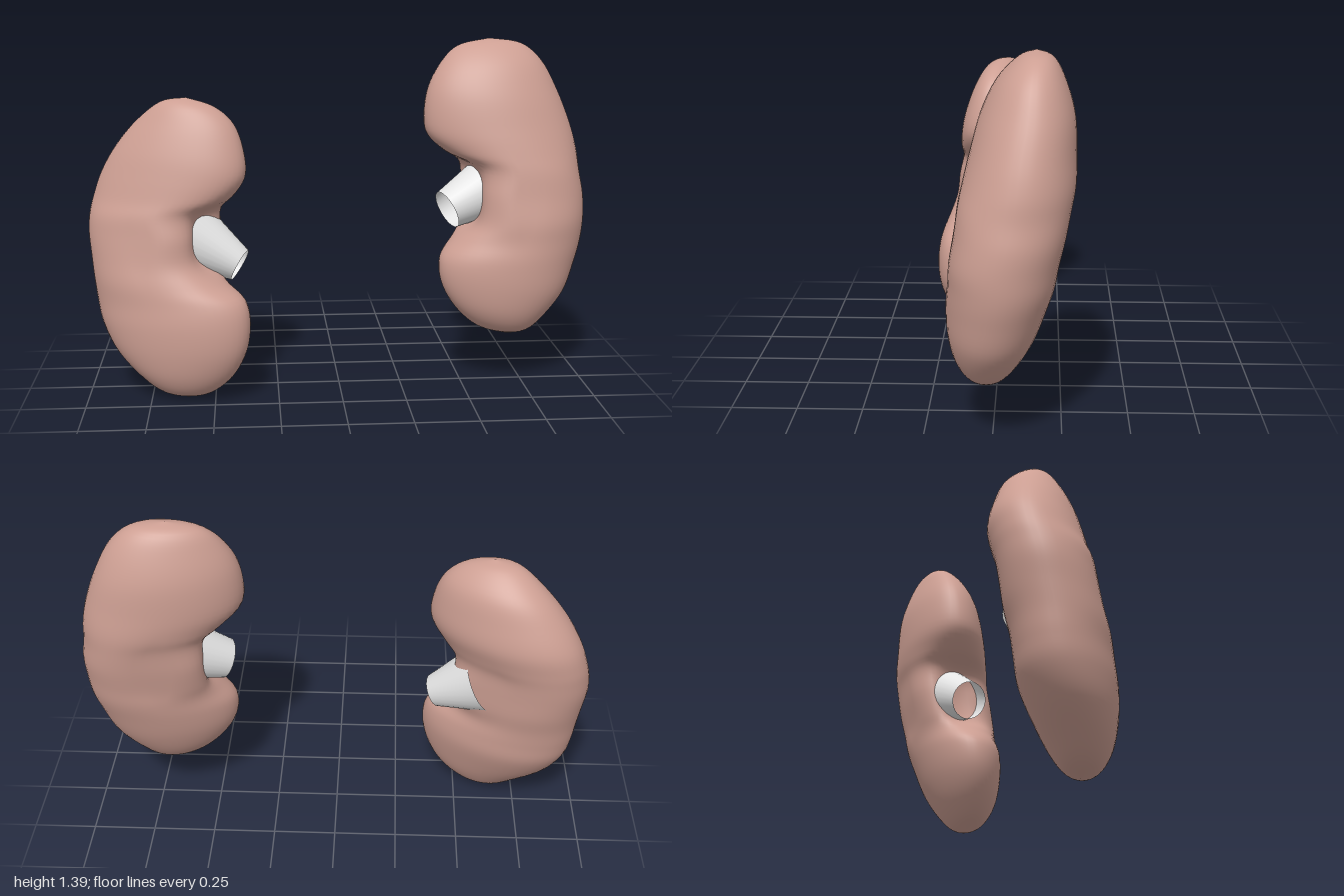
import * as THREE from 'three';

const tissue = new THREE.MeshStandardMaterial({ color: 0xcd9f93 });
tissue.name = 'tissue pink';
const duct = new THREE.MeshStandardMaterial({ color: 0xe4e4e4, side: THREE.DoubleSide });
duct.name = 'duct grey';

// Rungs run from the upper pole to the lower pole:
// outer point, inner point, half thickness, bluntness of the inner side, lean of its lips
const leftRungs = [
  [[0.62, 1.39, -0.15], [0.62, 1.39, -0.15], 0, 0, 0],
  [[0.75, 1.37, -0.155], [0.49, 1.36, -0.14], 0.062, 0, 0],
  [[0.835, 1.3, -0.15], [0.41, 1.28, -0.11], 0.118, 0, 0],
  [[0.9, 1.18, -0.145], [0.36, 1.17, -0.09], 0.162, 0, 0],
  [[0.95, 1.05, -0.125], [0.355, 1.03, -0.08], 0.184, 0, 0],
  [[0.975, 0.95, -0.115], [0.42, 0.945, -0.065], 0.194, 0.2, -0.05],
  [[0.985, 0.86, -0.1], [0.505, 0.885, -0.05], 0.194, 0.7, -0.2],
  [[1.0, 0.77, -0.08], [0.515, 0.78, -0.04], 0.192, 1, -0.2],
  [[1.0, 0.68, -0.06], [0.505, 0.67, -0.02], 0.19, 0.8, -0.2],
  [[0.99, 0.59, -0.05], [0.46, 0.6, -0.01], 0.186, 0.2, -0.05],
  [[0.965, 0.5, -0.035], [0.41, 0.52, 0.01], 0.178, 0, 0],
  [[0.92, 0.38, -0.01], [0.415, 0.42, 0.02], 0.157, 0, 0],
  [[0.84, 0.28, 0.01], [0.47, 0.32, 0.03], 0.12, 0, 0],
  [[0.77, 0.22, 0.02], [0.56, 0.24, 0.03], 0.068, 0, 0],
  [[0.68, 0.2, 0.02], [0.68, 0.2, 0.02], 0, 0, 0],
];
const rightRungs = [
  [[-0.6, 1.175, 0], [-0.6, 1.175, 0], 0, 0, 0],
  [[-0.7, 1.155, -0.04], [-0.49, 1.14, 0.04], 0.062, 0, 0],
  [[-0.8, 1.07, -0.1], [-0.415, 1.07, 0.07], 0.118, 0, 0],
  [[-0.88, 0.97, -0.13], [-0.38, 0.96, 0.1], 0.152, 0, 0],
  [[-0.935, 0.87, -0.15], [-0.38, 0.87, 0.115], 0.17, 0, 0],
  [[-0.965, 0.78, -0.145], [-0.43, 0.79, 0.12], 0.17, 0.2, 0.05],
  [[-0.98, 0.71, -0.13], [-0.5, 0.73, 0.11], 0.17, 0.7, 0.2],
  [[-0.985, 0.64, -0.115], [-0.505, 0.64, 0.115], 0.17, 1, 0.2],
  [[-0.975, 0.55, -0.095], [-0.5, 0.54, 0.13], 0.172, 0.8, 0.2],
  [[-0.965, 0.46, -0.075], [-0.46, 0.465, 0.17], 0.172, 0.2, 0.05],
  [[-0.955, 0.37, -0.06], [-0.385, 0.4, 0.205], 0.172, 0, 0],
  [[-0.935, 0.28, -0.04], [-0.365, 0.31, 0.222], 0.17, 0, 0],
  [[-0.885, 0.18, 0.01], [-0.38, 0.2, 0.222], 0.147, 0, 0],
  [[-0.8, 0.09, 0.07], [-0.43, 0.1, 0.2], 0.112, 0, 0],
  [[-0.71, 0.025, 0.105], [-0.51, 0.03, 0.175], 0.065, 0, 0],
  [[-0.6, 0, 0.14], [-0.6, 0, 0.14], 0, 0, 0],
];

const smooth = (points) => new THREE.CatmullRomCurve3(points, false, 'catmullrom', 0.5);

// Bean-shaped body lofted through the rungs
function beanGeometry(rungs) {
  const outer = smooth(rungs.map((r) => new THREE.Vector3(...r[0])));
  const inner = smooth(rungs.map((r) => new THREE.Vector3(...r[1])));
  const section = smooth(rungs.map((r) => new THREE.Vector3(r[2], r[3], r[4])));
  const rows = (rungs.length - 1) * 5;
  const sides = 48;
  const positions = [];
  const index = [];
  for (let i = 0; i <= rows; i++) {
    const o = outer.getPoint(i / rows);
    const n = inner.getPoint(i / rows);
    const s = section.getPoint(i / rows);
    const mid = o.clone().add(n).multiplyScalar(0.5);
    const half = o.clone().sub(n).multiplyScalar(0.5);
    const across = new THREE.Vector3(-half.z, 0, half.x).normalize();
    const blunt = Math.max(0, s.y);
    for (let k = 0; k < sides; k++) {
      const t = (k / sides) * Math.PI * 2;
      let c = Math.cos(t);
      const v = Math.sin(t) * (1 + 0.1 * c);
      // squared-off lips with a hollow between them
      if (c < 0) {
        const hollow = 1 - 0.22 * blunt * c ** 8;
        c = -(Math.abs(c) ** (1 - 0.55 * blunt)) * hollow * (1 + s.z * v);
      }
      const p = mid.clone().addScaledVector(half, c).addScaledVector(across, v * Math.max(0, s.x));
      positions.push(p.x, p.y, p.z);
      if (i < rows) {
        const a = i * sides + k;
        const b = i * sides + ((k + 1) % sides);
        if (i > 0) index.push(a, b, a + sides);
        if (i < rows - 1) index.push(b, b + sides, a + sides);
      }
    }
  }
  const geometry = new THREE.BufferGeometry();
  geometry.setAttribute('position', new THREE.Float32BufferAttribute(positions, 3));
  geometry.setIndex(index);
  geometry.computeVertexNormals();
  return geometry;
}

// Open tapered duct from its wide base inside the hollow to its round mouth
function makeDuct(name, base, mouth, baseRadius, mouthRadius) {
  const from = new THREE.Vector3(...base);
  const to = new THREE.Vector3(...mouth);
  const axis = to.clone().sub(from);
  const geometry = new THREE.CylinderGeometry(mouthRadius, baseRadius, axis.length(), 28, 1, true);
  const mesh = new THREE.Mesh(geometry, duct);
  mesh.name = name;
  mesh.position.copy(from).add(to).multiplyScalar(0.5);
  mesh.quaternion.setFromUnitVectors(new THREE.Vector3(0, 1, 0), axis.normalize());
  return mesh;
}

function makeOrgan(name, rungs, ductMesh) {
  const group = new THREE.Group();
  group.name = name;
  const body = new THREE.Mesh(beanGeometry(rungs), tissue);
  body.name = name + 'Body';
  group.add(body, ductMesh);
  return group;
}

export function createModel() {
  const model = new THREE.Group();
  model.name = 'kidneys';
  model.add(
    makeOrgan('leftKidney', leftRungs,
      makeDuct('leftDuct', [0.61, 0.79, -0.08], [0.44, 0.71, -0.02], 0.12, 0.08)),
    makeOrgan('rightKidney', rightRungs,
      makeDuct('rightDuct', [-0.59, 0.62, 0.01], [-0.397, 0.515, 0.065], 0.14, 0.067)),
  );
  return model;
}
